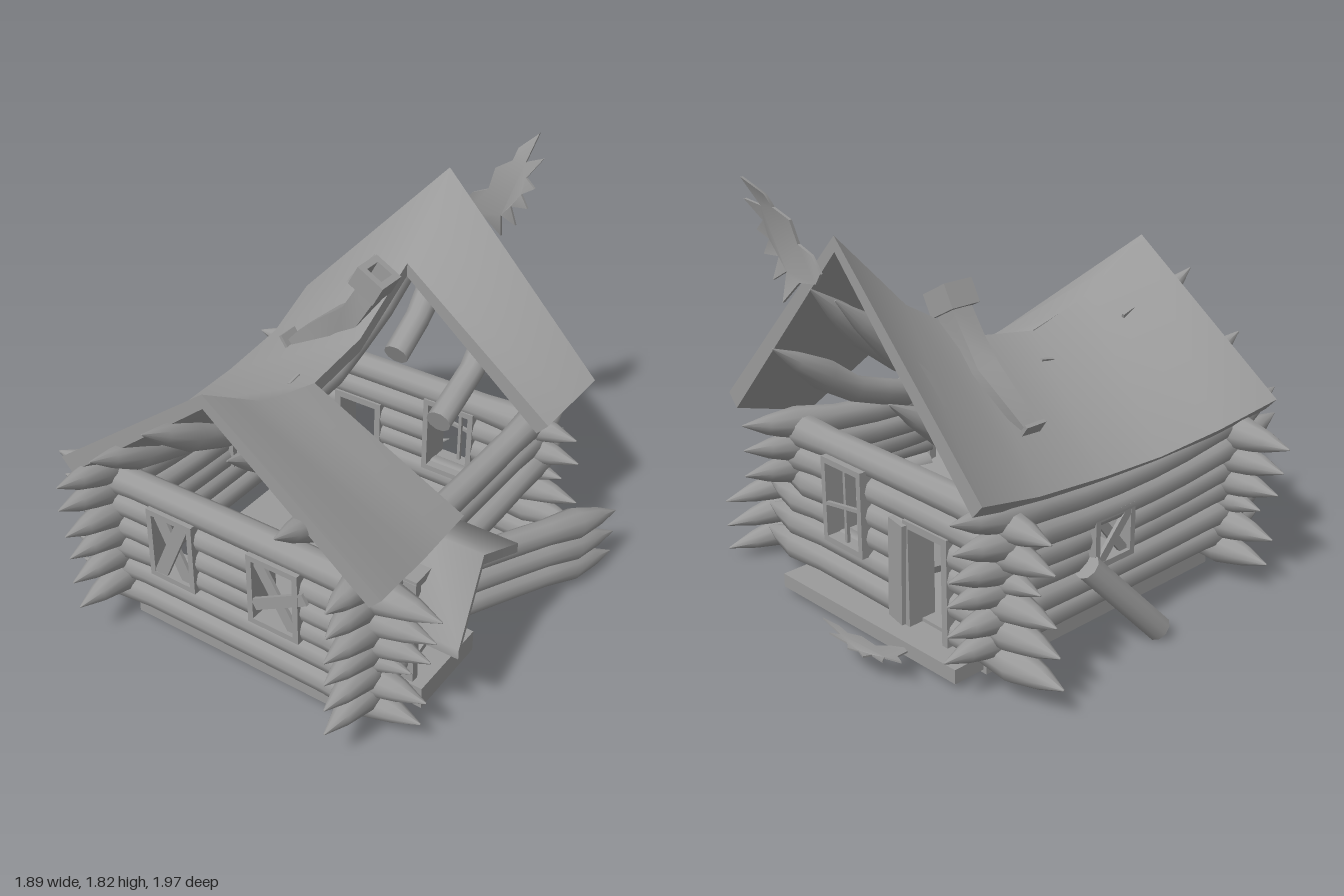
import * as THREE from 'three';
import { toCreasedNormals } from 'three/addons/utils/BufferGeometryUtils.js';

const V = (x, y, z) => new THREE.Vector3(x, y, z);
const wood = new THREE.MeshStandardMaterial({ color: 0x9a9a9a, side: THREE.DoubleSide });

// Skin a list of equal-sized rings, cap both ends, face outward.
function loft(rings, crease = 0.7) {
  const n = rings[0].length, pts = rings.flat(), idx = [];
  for (let i = 0; i < rings.length - 1; i++) for (let j = 0; j < n; j++) {
    const a = i * n + j, b = i * n + (j + 1) % n;
    idx.push(a, b, a + n, b, b + n, a + n);
  }
  const last = (rings.length - 1) * n;
  for (let j = 1; j < n - 1; j++) idx.push(0, j + 1, j, last, last + j, last + j + 1);
  let volume = 0;
  for (let i = 0; i < idx.length; i += 3) {
    volume += pts[idx[i]].dot(pts[idx[i + 1]].clone().cross(pts[idx[i + 2]]));
  }
  if (volume < 0) idx.reverse();
  const g = new THREE.BufferGeometry().setFromPoints(pts);
  g.setIndex(idx);
  return toCreasedNormals(g, crease);
}

// Log along path(s), optionally sharpened at either end.
function logGeometry(path, s0, s1, r, sharp0, sharp1) {
  const st = [], len = s1 - s0, tip = Math.min(0.24, len * 0.7);
  const point = [[0, 0.05], [0.45, 0.7], [1, 1.2]];
  if (sharp0) point.forEach(([t, k]) => st.push([s0 + t * tip, k])); else st.push([s0, 1]);
  const a = st[st.length - 1][0], b = sharp1 ? s1 - tip : s1;
  const steps = Math.max(1, Math.ceil((b - a) / 0.2));
  for (let i = 1; i < steps; i++) st.push([a + (b - a) * i / steps, 1]);
  if (sharp1) [...point].reverse().forEach(([t, k]) => st.push([s1 - t * tip, k])); else st.push([s1, 1]);
  return loft(st.map(([s, k]) => {
    const c = path(s), d = path(s + 0.01).sub(path(s - 0.01)).normalize();
    const side = V(0, 1, 0).cross(d).normalize(), up = d.clone().cross(side);
    return Array.from({ length: 10 }, (_, j) => {
      const t = j / 10 * Math.PI * 2;
      return c.clone().addScaledVector(side, Math.cos(t) * r * k).addScaledVector(up, Math.sin(t) * r * k);
    });
  }));
}

// Sagging roof stations: z, ridge height, eave height, eave half width.
const ROOF = [[-0.82, 1.65, 0.86, 0.76], [-0.5, 1.33, 0.78, 0.71], [-0.15, 1.13, 0.745, 0.7],
  [0.18, 1.08, 0.73, 0.7], [0.5, 1.17, 0.76, 0.73], [0.84, 1.375, 0.81, 0.76]];
function roofAt(z) {
  let i = 0;
  while (i < ROOF.length - 2 && z > ROOF[i + 1][0]) i++;
  const t = (z - ROOF[i][0]) / (ROOF[i + 1][0] - ROOF[i][0]);
  return ROOF[i].map((v, k) => v + (ROOF[i + 1][k] - v) * t);
}

// One slope of the roof, shaded smoothly over the ridge.
function slopeGeometry(side, zs) {
  const g = loft(zs.map(z => {
    const [, ridge, eave, w] = roofAt(z);
    return [V(0, ridge, z), V(side * w, eave, z), V(side * (w - 0.05), eave - 0.055, z), V(0, ridge - 0.06, z)];
  }));
  const p = g.attributes.position, normal = g.attributes.normal;
  for (let i = 0; i < p.count; i++) {
    if (Math.abs(p.getX(i)) < 1e-6 && normal.getY(i) > 0.3) {
      const n = V(0, normal.getY(i), normal.getZ(i)).normalize();
      normal.setXYZ(i, n.x, n.y, n.z);
    }
  }
  return g;
}

// Palmate antler, cupped toward -z.
function antlerGeometry() {
  const outline = [[0, 0], [0.05, 0.06], [0.12, 0.09], [0.135, 0.18], [0.2, 0.22], [0.21, 0.27], [0.275, 0.33],
    [0.255, 0.22], [0.32, 0.24], [0.27, 0.16], [0.31, 0.12], [0.26, 0.09], [0.29, 0.03], [0.22, 0.03],
    [0.24, -0.06], [0.18, -0.02], [0.17, -0.13], [0.11, -0.05], [0.02, -0.04]];
  const s = new THREE.Shape(outline.map(p => new THREE.Vector2(...p)));
  const g = new THREE.ExtrudeGeometry(s, { depth: 0.012, bevelEnabled: false });
  const p = g.attributes.position;
  for (let i = 0; i < p.count; i++) {
    p.setZ(i, p.getZ(i) - 1.2 * (p.getY(i) - 0.05) ** 2 - 0.5 * p.getX(i) ** 2);
  }
  return toCreasedNormals(g, 0.8);
}

export function createModel() {
  const model = new THREE.Group();
  const add = (name, g, parent = model) => {
    const m = new THREE.Mesh(g, wood);
    m.name = name;
    parent.add(m);
    return m;
  };
  const box = (name, size, pos, rot = [0, 0, 0], parent = model) => {
    const m = add(name, new THREE.BoxGeometry(...size), parent);
    m.position.set(...pos);
    m.rotation.set(...rot);
    return m;
  };
  // Log with gaps where openings interrupt it; only the outer ends are sharpened.
  const log = (name, path, s0, s1, r = 0.058, gaps = []) => {
    const cuts = [s0, ...gaps.flat(), s1];
    for (let i = 0; i < cuts.length; i += 2) {
      add(name, logGeometry(path, cuts[i], cuts[i + 1], r, i === 0, i + 2 === cuts.length));
    }
  };

  // Floor, door step and rear step
  box('floor', [1.08, 0.09, 1.31], [0, 0.07, 0.055]);
  box('doorStep', [0.24, 0.1, 0.4], [0.63, 0.08, 0.32]);
  box('rearStep', [1.05, 0.06, 0.16], [0, 0.07, -0.675], [0, 0.02, 0]);

  // Front and back walls
  const tips = [0.87, 0.89, 0.82, 0.9, 0.92, 0.94];
  [0.15, 0.27, 0.38, 0.475, 0.58, 0.69].forEach((y, i) => {
    const windows = i > 1 && i < 5;
    log('frontLog', x => V(x, y - 0.01 * x * x, 0.69), -tips[i], tips[i] - 0.02, 0.063,
      windows ? [[-0.39, -0.18], [0.11, 0.33]] : []);
    const gaps = [];
    if (i < 4) gaps.push([-0.37, -0.17]);
    if (windows) gaps.push([0.1, 0.32]);
    log('backLog', x => V(x, y - 0.01 * x * x, -0.6), -tips[5 - i], tips[5 - i] - 0.07, 0.063, gaps);
  });

  // Side walls; the lower right logs have sprung loose behind the door
  const leftX = [-0.6, -0.62, -0.62, -0.63, -0.65, -0.64];
  [0.21, 0.32, 0.435, 0.53, 0.64, 0.745].forEach((y, i) => {
    const sag = 0.015 * i;
    const bow = (x, inward) => z => V(x - inward * (1 - z * z), y - sag + sag * 1.7 * z * z, z);
    log('leftSideLog', bow(leftX[i], 0), -0.86, 0.99, 0.058, i === 2 || i === 3 ? [[-0.18, 0.02]] : []);
    if (i > 3) log('rightSideLog', bow(0.63, 0.06), -0.86, 0.99);
    else {
      add('rightFrontLog', logGeometry(bow(0.62, 0), 0.48, 0.99, 0.058, false, true));
      const loose = z => {
        const t = 0.13 - z;
        return V(0.63 + 0.36 * t, y - 0.01 - 0.13 * t - 0.03 * t * t, z);
      };
      add('rightRearLog', logGeometry(i < 3 ? loose : bow(0.62, 0), i < 3 ? -0.76 : -0.86, 0.13, 0.058, true, false));
    }
  });

  // Roof slabs: whole left slope, right slope broken in the middle
  add('leftSlope', slopeGeometry(-1, ROOF.map(r => r[0])));
  add('rightRearSlope', slopeGeometry(1, [-0.82, -0.66, -0.5]));
  add('rightFrontSlope', slopeGeometry(1, [0.17, 0.34, 0.5, 0.67, 0.84]));

  // Purlins following the sagging roof
  [-0.43, -0.15, 0.14, 0.4].forEach((x, i) => {
    const path = z => {
      const [, ridge, eave, w] = roofAt(z);
      return V(x + (x > 0 ? 0.06 : -0.03) * (z - 0.7), ridge + (eave - ridge) * Math.abs(x) / w - 0.115, z);
    };
    const front = i === 2 ? 0.9 : 0.99;
    if (x < 0) log('purlin', path, -0.9, front, 0.055);
    else {
      add('brokenPurlin', logGeometry(path, -0.9, x < 0.2 ? -0.3 : -0.22, 0.055, true, false));
      add('brokenPurlin', logGeometry(path, 0.36, front, 0.055, false, true));
    }
  });

  // Windows: frame, and either crossed boards or a thin muntin
  const windowUnit = (w, h, pos, turn, boards) => {
    const g = new THREE.Group();
    g.name = 'window';
    for (const s of [-1, 1]) {
      box('windowJamb', [0.025, h, 0.15], [s * (w / 2 - 0.012), 0, 0], [0, 0, 0], g);
      box('windowRail', [w, 0.025, 0.15], [0, s * (h / 2 - 0.012), 0], [0, 0, 0], g);
    }
    boards.forEach(([width, length, angle, x = 0], i) =>
      box('windowBoard', [width, length, 0.015], [x, 0, 0.05 + i * 0.016], [0, 0, angle], g));
    g.position.set(...pos);
    g.rotation.y = turn;
    model.add(g);
  };
  windowUnit(0.23, 0.33, [-0.285, 0.495, 0.69], 0, [[0.06, 0.33, 0.45], [0.06, 0.32, -0.42]]);
  windowUnit(0.24, 0.33, [0.22, 0.495, 0.69], 0, [[0.05, 0.32, 0.55], [0.05, 0.28, -1.05, 0.03]]);
  windowUnit(0.25, 0.37, [0.21, 0.485, -0.61], Math.PI, [[0.015, 0.35, 0], [0.015, 0.23, Math.PI / 2 + 0.15]]);
  windowUnit(0.22, 0.22, [-0.63, 0.48, -0.08], -Math.PI / 2, [[0.04, 0.25, 0.7], [0.04, 0.25, -0.75]]);

  // Right doorway: frame, plank door and canopy
  for (const z of [0.13, 0.49]) box('doorPost', [0.1, 0.49, 0.035], [0.65, 0.37, z]);
  box('doorLintel', [0.1, 0.035, 0.39], [0.65, 0.61, 0.31]);
  const door = new THREE.Group();
  door.name = 'door';
  for (let i = 0; i < 4; i++) {
    box('doorPlank', [0.025, 0.4 - (i % 2) * 0.03, 0.055], [0, i * 0.006, 0.09 - i * 0.06], [0.02 * (i - 1), 0, 0], door);
  }
  box('doorBatten', [0.03, 0.025, 0.23], [0.02, 0.14, 0], [0, 0, 0], door);
  box('doorBatten', [0.03, 0.025, 0.23], [0.02, -0.13, 0], [0.25, 0, 0], door);
  door.position.set(0.65, 0.37, 0.36);
  model.add(door);
  add('canopy', loft([[0.575, 0.47, 0.93], [0.31, 0.71, 0.87], [0.05, 0.6, 0.88]].map(([z, y, x]) =>
    [V(0.62, y, z), V(x, y, z), V(x, y - 0.045, z), V(0.62, y - 0.045, z)]), 1.3));

  // Rear doorway with its door standing beside it
  for (const x of [-0.38, -0.16]) box('rearDoorPost', [0.03, 0.43, 0.13], [x, 0.315, -0.6]);
  box('rearDoorLintel', [0.25, 0.03, 0.13], [-0.27, 0.535, -0.6]);
  box('rearDoor', [0.1, 0.43, 0.025], [-0.11, 0.32, -0.665], [0, -0.15, 0.04]);

  // Roof pieces fallen inside
  box('fallenPanel', [0.46, 0.03, 0.34], [0.22, 0.2, -0.34], [0.2, 0.1, 0.1]);
  box('fallenPanel', [0.32, 0.03, 0.16], [0.5, 0.28, 0.12], [-0.2, 0, 0.35]);

  // Crooked chimney lying up the left slope
  const path = [[-0.44, 0.9, -0.3, 0.03], [-0.37, 0.96, -0.31, 0.042], [-0.22, 1.07, -0.32, 0.055],
    [-0.12, 1.15, -0.29, 0.05], [-0.03, 1.3, -0.3, 0.05]];
  add('chimneyStack', loft(path.map(([x, y, z, r]) => [[-1, -1], [1, -1], [1, 1], [-1, 1]].map(([a, b]) =>
    V(x - 0.7 * a * r, y + 0.7 * a * r, z + b * r))), 0.4));
  const cap = new THREE.Group();
  cap.name = 'chimneyCap';
  for (const s of [-1, 1]) {
    box('capSide', [0.03, 0.1, 0.14], [s * 0.055, 0, 0], [0, 0, 0], cap);
    box('capSide', [0.14, 0.1, 0.03], [0, 0, s * 0.055], [0, 0, 0], cap);
  }
  cap.position.set(-0.035, 1.325, -0.305);
  cap.rotation.z = -0.5;
  model.add(cap);

  // Splinters on the left slope
  box('splinter', [0.012, 0.03, 0.07], [-0.15, 1.0, 0.1], [0.2, 0, 0.3]);
  box('splinter', [0.012, 0.03, 0.07], [-0.17, 1.11, 0.57], [-0.3, 0, 0.3]);
  box('splinter', [0.015, 0.07, 0.1], [-0.47, 0.91, -0.3], [0, 0, 0.6]);

  // Broken log leaning on the left wall
  const lean = z => V(-0.74 - 0.3 * (z + 0.05), 0.21 - 1.1 * (z + 0.05), z);
  add('leaningLog', logGeometry(lean, -0.22, 0.1, 0.054, false, false));

  // Antlers: one on the rear gable, one fallen behind the house
  add('gableAntler', antlerGeometry()).position.set(0.06, 1.5, -0.84);
  const fallen = add('fallenAntler', antlerGeometry());
  fallen.applyMatrix4(new THREE.Matrix4().makeBasis(V(0, 0, -0.6), V(0.85, 0, 0), V(0, -0.6, 0)).setPosition(-0.29, 0.11, -0.79));

  return model;
}
